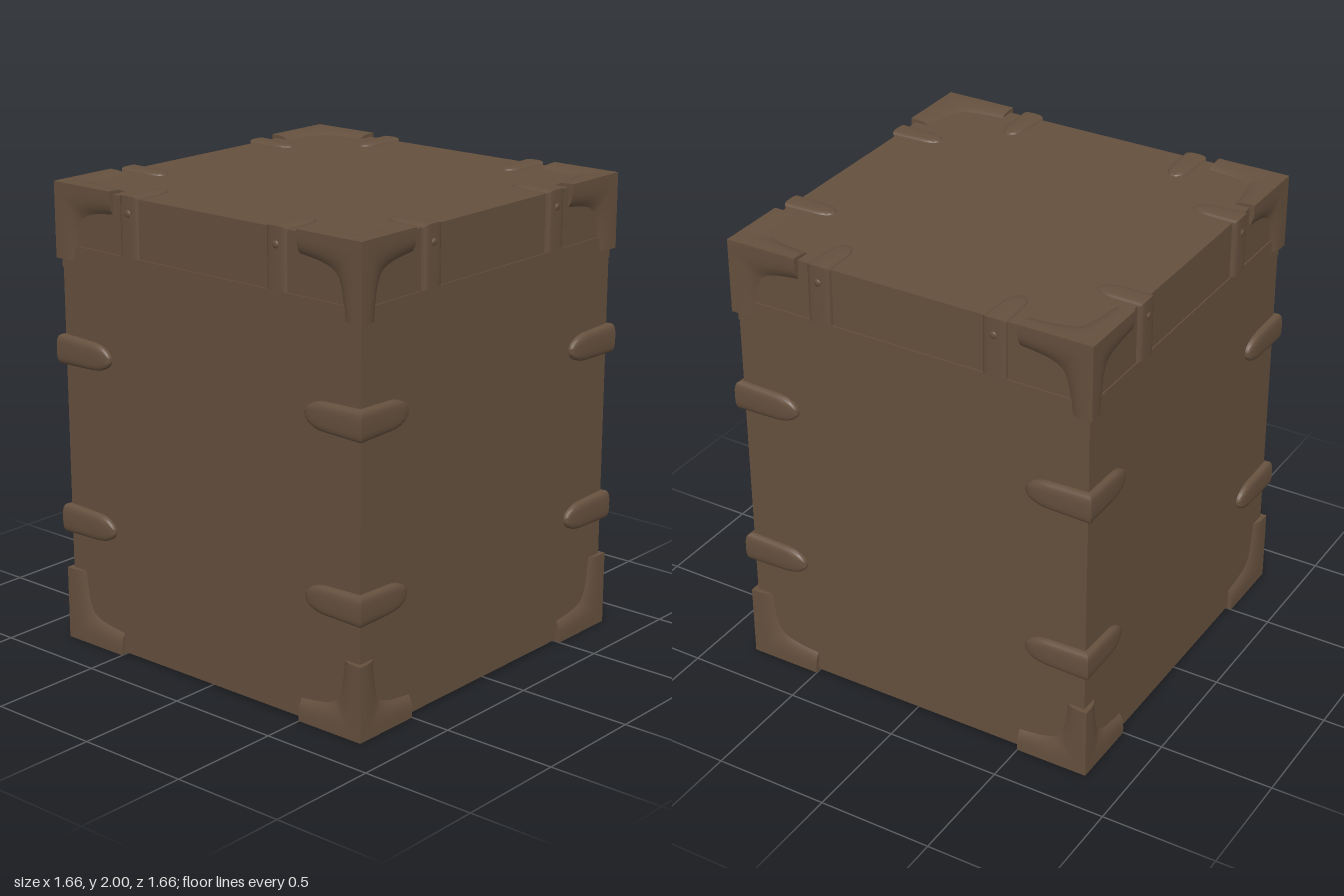
import * as THREE from 'three';
import { toCreasedNormals } from 'three/addons/utils/BufferGeometryUtils.js';

const brown = new THREE.MeshStandardMaterial({ color: 0x65503e, side: THREE.DoubleSide });
brown.name = 'dark brown';

function addMesh(parent, name, geometry, x = 0, y = 0, z = 0) {
  const mesh = new THREE.Mesh(geometry, brown);
  mesh.name = name;
  mesh.position.set(x, y, z);
  parent.add(mesh);
  return mesh;
}

// Joins rows of points into a surface
function surface(rows, crease) {
  const n = rows[0].length, index = [];
  for (let i = 0; i < rows.length - 1; i++) {
    for (let j = 0; j < n - 1; j++) {
      const a = i * n + j, b = a + n;
      index.push(a, b, a + 1, a + 1, b, b + 1);
    }
  }
  const g = new THREE.BufferGeometry().setFromPoints(rows.flat());
  g.setIndex(index);
  return toCreasedNormals(g, crease);
}

// Half of a clip: starts mitred on the edge x = z = 0 and runs along -x on the +z face
function clipLeg(halfWidth, thickness, length, rounded) {
  const sections = [[0, 1, 1]];
  if (rounded) {
    const tip = Math.min(0.14, halfWidth * 1.7);
    for (let k = 0; k <= 8; k++) {
      const a = (k / 8) * Math.PI / 2;
      const c = Math.max(0, Math.cos(a));
      sections.push([length - tip + tip * Math.sin(a), 0.92 * c, Math.sqrt(c)]);
    }
  } else {
    sections.push([length, 1, 1], [length, 1, 0]);
  }
  const rows = sections.map(([u, w, h], i) => {
    const row = [];
    for (let k = 0; k <= 14; k++) {
      const a = (k / 14) * Math.PI;
      const c = Math.cos(a);
      const y = Math.sign(c) * Math.pow(Math.abs(c), 0.6) * halfWidth * w;
      const z = Math.pow(Math.max(0, Math.sin(a)), 0.55) * thickness * h;
      row.push(new THREE.Vector3(i === 0 ? z : -u, y, z));
    }
    return row;
  });
  return surface(rows, 0.7);
}

// Swaps the +z face with the +x face (half turn about their diagonal)
const swapFaces = new THREE.Matrix4().makeRotationAxis(new THREE.Vector3(1, 0, 1).normalize(), Math.PI);

function makeClip(name, legA, legB) {
  const clip = new THREE.Group();
  clip.name = name;
  addMesh(clip, 'clipLeg', legA);
  addMesh(clip, 'clipLeg', legB.clone().applyMatrix4(swapFaces));
  return clip;
}

// One L-shaped, softly domed face of a corner guard, with its corner at the origin
function guardFace(thickness = 0.024, reach = 0.32) {
  const inner = new THREE.CubicBezierCurve(
    new THREE.Vector2(-reach, -0.1), new THREE.Vector2(-0.13, -0.12),
    new THREE.Vector2(-0.12, -0.13), new THREE.Vector2(-0.1, -reach));
  const rows = [], n = 20;
  for (let i = 0; i <= n; i++) {
    const s = i / n, p = inner.getPoint(s);
    const ox = Math.min(0, -reach * (1 - 2 * s));
    const oy = Math.min(0, -reach * (2 * s - 1));
    const row = [];
    for (let j = 0; j <= 8; j++) {
      const t = 1 - j / 8;
      row.push(new THREE.Vector3(ox + (p.x - ox) * t, oy + (p.y - oy) * t, -thickness * t ** 4));
    }
    rows.push(row);
  }
  // Square ends dropping down to the box
  const drop = row => row.map(p => new THREE.Vector3(p.x, p.y, -thickness));
  return surface([drop(rows[0]), ...rows, drop(rows[n])], 0.6);
}

function makeGuard(name, geometry) {
  const guard = new THREE.Group();
  guard.name = name;
  const axis = new THREE.Vector3(1, 1, 1).normalize();
  for (let k = 0; k < 3; k++) {
    addMesh(guard, 'guardFace', geometry).quaternion.setFromAxisAngle(axis, k * Math.PI * 2 / 3);
  }
  return guard;
}

export function createModel() {
  const model = new THREE.Group();
  model.name = 'trunk';

  // Box, rim and lid
  addMesh(model, 'body', new THREE.BoxGeometry(1.6, 1.63, 1.6), 0, 0.825, 0);
  addMesh(model, 'rim', new THREE.BoxGeometry(1.606, 0.1, 1.606), 0, 1.69, 0);
  addMesh(model, 'lid', new THREE.BoxGeometry(1.596, 0.245, 1.596), 0, 1.8625, 0);

  const guardGeometry = guardFace();
  const sideLeg = clipLeg(0.065, 0.03, 0.27, true);
  const lidTopLeg = clipLeg(0.052, 0.022, 0.2, true);
  const lidFrontLeg = clipLeg(0.052, 0.022, 0.23, false);
  const rivetGeometry = new THREE.SphereGeometry(0.016, 12, 8);
  const lidBasis = new THREE.Matrix4().makeBasis(
    new THREE.Vector3(0, 0, 1), new THREE.Vector3(1, 0, 0), new THREE.Vector3(0, 1, 0));

  // Fittings of one side and one upright edge, repeated by quarter turns
  for (let q = 0; q < 4; q++) {
    const side = new THREE.Group();
    side.name = 'sideFittings';
    side.rotation.y = q * Math.PI / 2;
    model.add(side);

    const top = makeGuard('topCornerGuard', guardGeometry);
    top.position.set(0.82, 2, 0.82);
    const bottom = makeGuard('bottomCornerGuard', guardGeometry);
    const foot = new THREE.Group();
    foot.name = 'bottomCorner';
    foot.quaternion.setFromRotationMatrix(swapFaces);
    foot.position.set(0.82, 0, 0.82);
    foot.add(bottom);
    side.add(top, foot);

    for (const y of [0.545, 1.29]) {
      const clip = makeClip('edgeClip', sideLeg, sideLeg);
      clip.position.set(0.799, y, 0.799);
      side.add(clip);
    }

    for (const x of [-0.395, 0.395]) {
      const clip = makeClip('lidClip', lidTopLeg, lidFrontLeg);
      clip.quaternion.setFromRotationMatrix(lidBasis);
      clip.position.set(x, 1.975, 0.798);
      side.add(clip);
      addMesh(side, 'rivet', rivetGeometry, x, 1.925, 0.818).scale.z = 0.5;
    }
  }
  return model;
}
